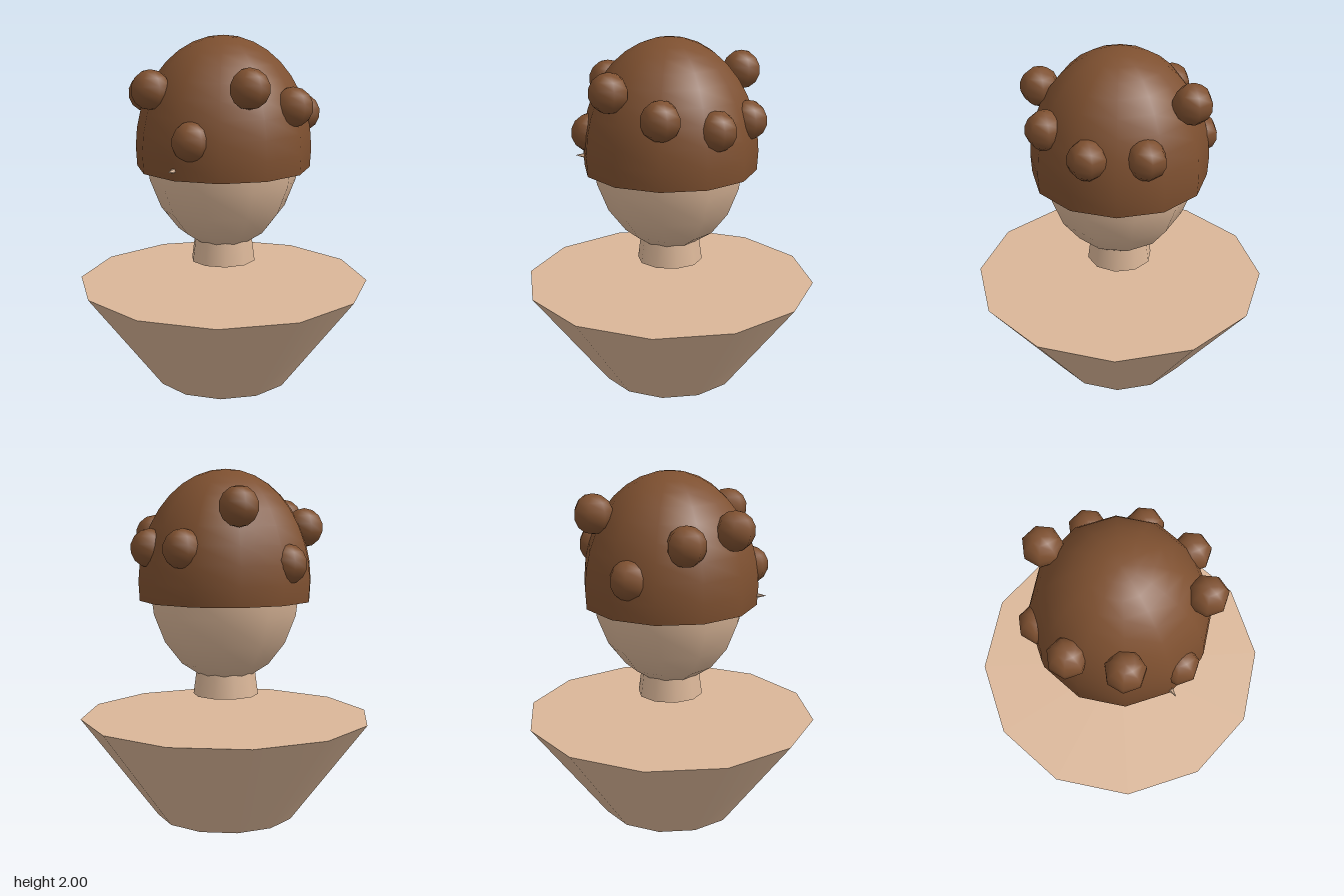
import * as THREE from 'three';

export function createModel() {
  const model = new THREE.Group();
  const skin = new THREE.MeshStandardMaterial({ color: 0xdab698 });
  skin.name = 'skin';
  const brown = new THREE.MeshStandardMaterial({ color: 0x7e5030, side: THREE.DoubleSide });
  brown.name = 'brownHair';

  const add = (name, geometry, material, x, y, z) => {
    const mesh = new THREE.Mesh(geometry, material);
    mesh.name = name;
    mesh.position.set(x, y, z);
    model.add(mesh);
    return mesh;
  };

  // Tapered shoulders and the neck floating above them
  add('shoulders', new THREE.CylinderGeometry(0.84, 0.4, 0.585, 12), skin, 0, 0.2925, 0);
  add('neck', new THREE.CylinderGeometry(0.157, 0.188, 0.235, 10), skin, 0, 0.8275, 0);

  // Egg-shaped head with an open hair cap over it
  const headY = 1.36;
  add('head', new THREE.SphereGeometry(0.442, 10, 10), skin, 0, headY, 0).scale.y = 1.29;
  const cap = new THREE.SphereGeometry(0.5, 12, 10, 0, Math.PI * 2, 0, Math.PI * 0.55);
  add('hairCap', cap, brown, 0, headY, 0).scale.y = 1.28;

  // Small pointed nose whose tip pokes through the cap
  const nose = add('nose', new THREE.ConeGeometry(0.037, 0.135, 5), skin, 0, 1.315, 0.4775);
  nose.rotation.x = Math.PI / 2;

  // Ring of nine curls at varied heights, starting at +x and turning towards +z
  const curl = new THREE.SphereGeometry(0.11, 7, 7);
  const heights = [1.63, 1.75, 1.47, 1.72, 1.67, 1.48, 1.79, 1.565, 1.56];
  heights.forEach((y, i) => {
    const a = (i / heights.length) * Math.PI * 2;
    add('curl' + (i + 1), curl, brown, 0.445 * Math.cos(a), y, 0.445 * Math.sin(a));
  });

  return model;
}
